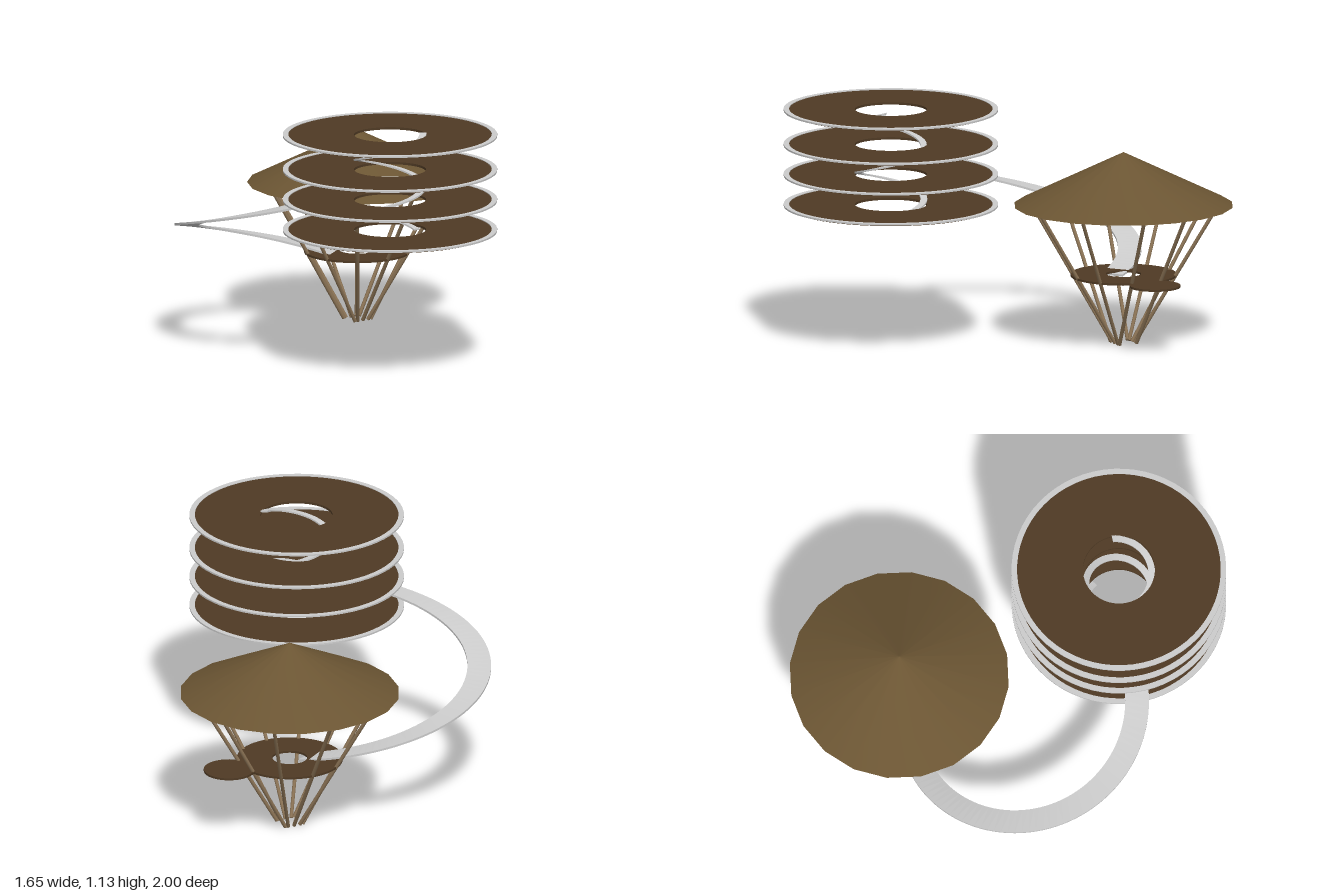
import * as THREE from 'three';

const mat = (color) => new THREE.MeshStandardMaterial({ color, side: THREE.DoubleSide });
const grey = mat(0xcccccc), floorBrown = mat(0x4f3a24), roofBrown = mat(0x6b5533), wood = mat(0x8b7355);

function add(group, name, geometry, material, x = 0, y = 0, z = 0) {
  const mesh = new THREE.Mesh(geometry, material);
  mesh.name = name;
  mesh.position.set(x, y, z);
  group.add(mesh);
  return mesh;
}

// Flat horizontal disc with an optional round hole, bottom at y = 0
function disc(outer, inner, thickness) {
  const shape = new THREE.Shape().absarc(0, 0, outer, 0, Math.PI * 2, false);
  if (inner) shape.holes.push(new THREE.Path().absarc(0, 0, inner, 0, Math.PI * 2, true));
  const geo = new THREE.ExtrudeGeometry(shape, { depth: thickness, bevelEnabled: false, curveSegments: 32 });
  return geo.rotateX(-Math.PI / 2);
}

// Spiral ramp with a thin rectangular section; angles in degrees, measured from +x towards +z
function spiralRamp(inner, outer, from, to, y0, y1, thickness, steps) {
  const h = thickness / 2;
  const section = [[inner, -h], [inner, h], [outer, h], [outer, -h]];
  const pos = [], index = [];
  // each side has its own vertices so that the edges stay sharp
  section.forEach((a, k) => {
    const b = section[(k + 1) % 4], base = pos.length / 3;
    for (let i = 0; i <= steps; i++) {
      const t = i / steps, ang = THREE.MathUtils.degToRad(from + (to - from) * t), y = y0 + (y1 - y0) * t;
      for (const [r, dy] of [a, b]) pos.push(r * Math.cos(ang), y + dy, r * Math.sin(ang));
      if (i < steps) {
        const p = base + i * 2;
        index.push(p, p + 1, p + 2, p + 1, p + 3, p + 2);
      }
    }
  });
  // end caps
  const row = (steps + 1) * 2;
  const start = [0, row, 2 * row, 3 * row], end = start.map((v) => v + steps * 2);
  index.push(start[0], start[2], start[1], start[0], start[3], start[2]);
  index.push(end[0], end[1], end[2], end[0], end[2], end[3]);
  const geo = new THREE.BufferGeometry();
  geo.setAttribute('position', new THREE.Float32BufferAttribute(pos, 3));
  geo.setIndex(index);
  const flat = geo.toNonIndexed();
  flat.computeVertexNormals();
  return flat;
}

// Round pole between two points
function pole(group, name, a, b, radius) {
  const dir = b.clone().sub(a);
  const mesh = add(group, name, new THREE.CylinderGeometry(radius, radius, dir.length(), 8), wood);
  mesh.position.copy(a).add(b).multiplyScalar(0.5);
  mesh.quaternion.setFromUnitVectors(new THREE.Vector3(0, 1, 0), dir.normalize());
}

export function createModel() {
  const model = new THREE.Group();

  // Tower of ring floors with grey rims and a spiral ramp in the middle
  const tower = new THREE.Group();
  tower.name = 'ringTower';
  tower.position.set(-0.215, 0, 0.488);
  model.add(tower);
  for (const y of [0.66, 0.805, 0.95, 1.118]) {
    add(tower, 'ringFloor', disc(0.487, 0.17, 0.011), floorBrown, 0, y, 0);
    add(tower, 'floorRim', disc(0.507, 0.481, 0.008), grey, 0, y + 0.006, 0);
  }
  add(tower, 'innerSpiralRamp', spiralRamp(0.14, 0.172, 0, -684, 0.652, 1.135, 0.008, 120), grey);

  // Pavilion with cone roof, lower platform, side platform and leaning poles
  const pavilion = new THREE.Group();
  pavilion.name = 'pavilion';
  pavilion.position.set(0.305, 0, -0.48);
  model.add(pavilion);
  const roof = new THREE.ConeGeometry(0.52, 0.255, 20);
  add(pavilion, 'coneRoof', roof, roofBrown, 0, 0.7975, 0);
  add(pavilion, 'lowerPlatform', disc(0.25, 0.083, 0.01), floorBrown, 0, 0.33, 0);
  add(pavilion, 'sidePlatform', disc(0.12, 0, 0.01), floorBrown, 0.32, 0.33, 0);

  // Ten poles: top x, top z, foot x, foot z, mirrored front to back and side to side
  const poles = [[0, 0.45, 0, 0.045], [0.265, 0.36, 0.03, 0.045], [0.425, 0.11, 0.045, 0.045]];
  for (const [tx, tz, fx, fz] of poles)
    for (const sx of tx ? [1, -1] : [1])
      for (const sz of [1, -1])
        pole(pavilion, 'leaningPole', new THREE.Vector3(sx * fx, 0.01, sz * fz),
          new THREE.Vector3(sx * tx, 0.675, sz * tz), 0.009);

  // Long curved ramp joining the pavilion platform to the tower
  add(model, 'connectingRamp', spiralRamp(0.475, 0.587, -30, -239, 0.322, 0.8, 0.01, 64), grey, -0.242, 0, -0.2);

  return model;
}
